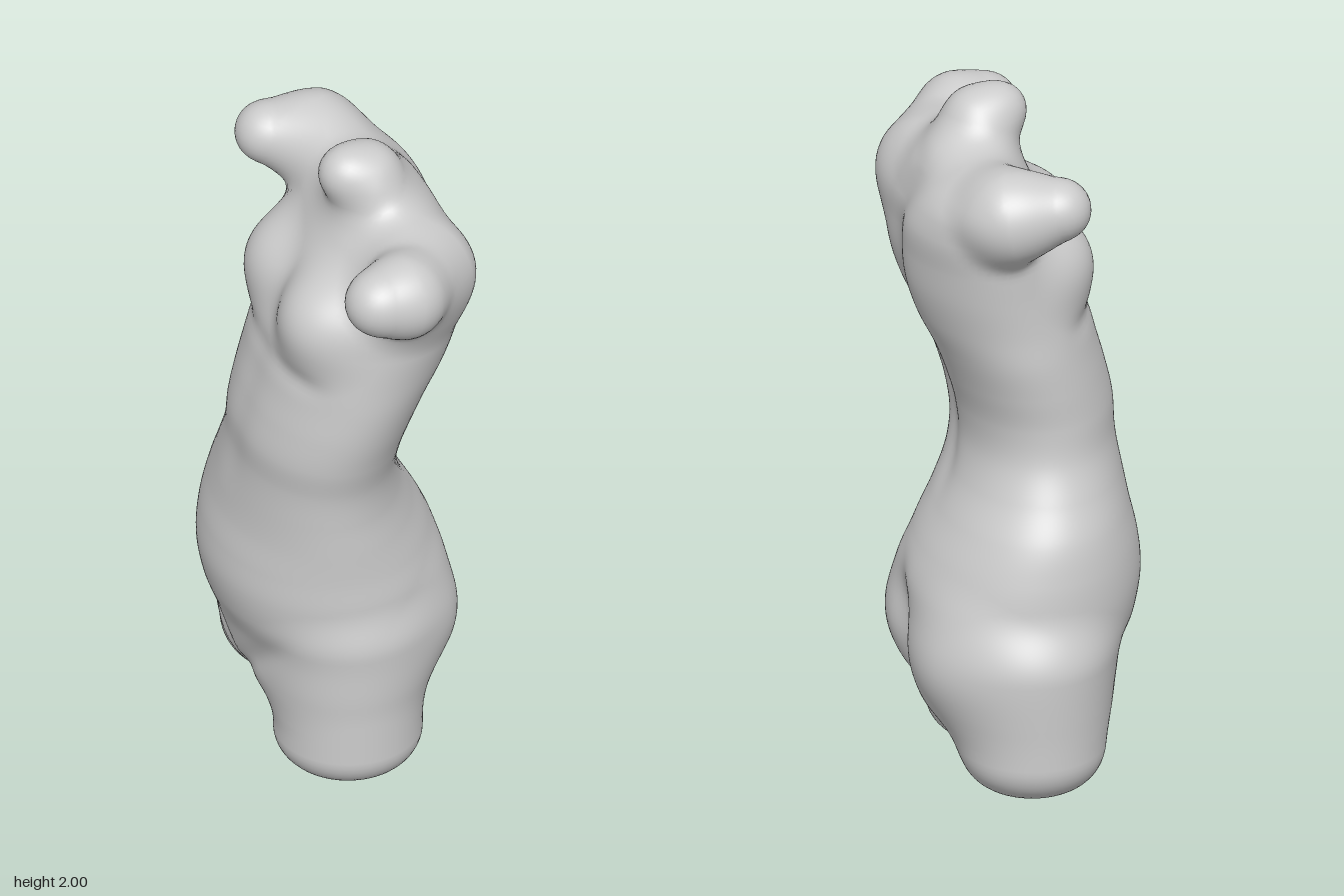
import * as THREE from 'three';

// Body axes: the figure is turned, u runs across it (to its left), v points out of its front
const TURN = 0.63, C = Math.cos(TURN), S = Math.sin(TURN);
const clamp = (t) => Math.min(1, Math.max(0, t));
const bell = (t, w) => Math.exp(-(t * t) / (w * w));
const ramp = (a, b, t) => { const s = clamp((t - a) / (b - a)); return s * s * (3 - 2 * s); };

// Soft union and soft intersection
const join = (a, b, k) => {
  const h = Math.max(k - Math.abs(a - b), 0) / k;
  return Math.min(a, b) - h * h * k / 4;
};
const cut = (a, b, k) => -join(-a, -b, k);

// Trunk sections every 0.1 from y = 0.2: centre x, centre z, half width, half depth
const SECTIONS = [
  [-.10, -.03, .35, .26], [-.09, -.03, .38, .28], [-.09, -.03, .39, .30], [-.09, -.01, .395, .32],
  [-.09, .00, .395, .33], [-.095, .015, .387, .307], [-.093, .036, .374, .27], [-.078, .064, .347, .24],
  [-.057, .083, .328, .225], [-.037, .087, .335, .23], [-.015, .07, .35, .235], [.008, .045, .362, .242],
  [.032, .02, .367, .258], [.052, -.005, .375, .257], [.065, -.025, .382, .242], [.06, -.06, .365, .21],
  [.03, -.09, .32, .15], [.03, -.09, .24, .09],
];

function section(y) {
  const n = SECTIONS.length - 1, f = Math.min(n - 0.001, Math.max(0, (y - 0.2) / 0.1));
  const i = Math.floor(f), t = f - i;
  const row = (j) => SECTIONS[Math.min(n, Math.max(0, j))];
  const [p, q, r, s] = [row(i - 1), row(i), row(i + 1), row(i + 2)];
  return q.map((v, k) => v + 0.5 * t * (r[k] - p[k] +
    t * (2 * p[k] - 5 * v + 4 * r[k] - s[k] + t * (3 * (v - r[k]) + s[k] - p[k]))));
}

// Distance to a limb tapering from a to b, each [x, y, z, radius]
function limb(x, y, z, a, b) {
  const d = [b[0] - a[0], b[1] - a[1], b[2] - a[2]];
  const t = clamp(((x - a[0]) * d[0] + (y - a[1]) * d[1] + (z - a[2]) * d[2]) /
    (d[0] * d[0] + d[1] * d[1] + d[2] * d[2]));
  return Math.hypot(x - a[0] - d[0] * t, y - a[1] - d[1] * t, z - a[2] - d[2] * t) - a[3] - (b[3] - a[3]) * t;
}
const ball = (x, y, z, c) => Math.hypot(x - c[0], y - c[1], z - c[2]) - c[3];

// Upright thigh with a rounded cut end
function thigh(x, y, z, cx, cz, r, bottom, round) {
  const q = Math.hypot(x - cx, z - cz) - r + round;
  const v = Math.max(bottom - y, y - 0.55) + round;
  return Math.min(Math.max(q, v), 0) + Math.hypot(Math.max(q, 0), Math.max(v, 0)) - round;
}

function body(x, y, z) {
  // trunk
  const [cx, cz, a, b] = section(y);
  const u = (x - cx) * C + (z - cz) * S, v = (z - cz) * C - (x - cx) * S;
  const k0 = Math.hypot(u / a, v / b), k1 = Math.hypot(u / (a * a), v / (b * b));
  let d = k1 < 1e-6 ? -b : k0 * (k0 - 1) / k1;
  d = cut(d, y - 1.85, 0.1);
  d = cut(d, 0.2 - y, 0.1);

  // breasts
  d = join(d, ball(x, y, z, [.095, 1.525, .205, .14]), 0.08);
  d = join(d, ball(x, y, z, [-.15, 1.525, .025, .14]), 0.08);

  // shoulders and arm stumps
  d = join(d, limb(x, y, z, [.03, 1.77, -.09, .09], [-.24, 1.78, -.195, .115]), 0.06);
  d = join(d, limb(x, y, z, [-.24, 1.78, -.195, .115], [-.342, 1.805, -.11, .088]), 0.08);
  d = join(d, limb(x, y, z, [.305, 1.69, .04, .13], [.365, 1.735, .23, .115]), 0.1);
  d = join(d, limb(x, y, z, [.36, 1.74, .24, .105], [.335, 1.748, .31, .095]), 0.05);

  // neck stump with a jutting front edge
  let neck = limb(x, y, z, [.07, 1.75, -.05, .12], [.075, 1.89, .01, .108]);
  neck = join(neck, ball(x, y, z, [.045, 1.925, .062, .073]), 0.04);
  d = join(d, neck, 0.1);

  // buttocks and thighs
  d = join(d, ball(x, y, z, [-.165, .41, -.21, .195]), 0.1);
  d = join(d, ball(x, y, z, [.115, .42, -.05, .183]), 0.1);
  const legs = join(thigh(x, y, z, .085, .105, .207, 0, .1),
    thigh(x, y, z, -.285, -.16, .203, .045, .12), 0.07);
  d = join(d, legs, 0.08);

  // spine furrow, cleft, front midline and groin creases
  const back = ramp(0.02, 0.12, -v), front = ramp(0.02, 0.12, v);
  d += 0.04 * back * bell(u, 0.1) * ramp(0.95, 1.45, y) * (1 - ramp(1.7, 1.88, y));
  d += 0.012 * back * bell(u, 0.06) * ramp(0.75, 0.95, y) * (1 - ramp(1.1, 1.4, y));
  d += 0.035 * back * bell(u - 0.02, 0.06) * ramp(0.1, 0.2, y) * (1 - ramp(0.4, 0.68, y));
  d += 0.006 * front * bell(u, 0.07) * ramp(0.85, 1.0, y) * (1 - ramp(1.6, 1.75, y));
  const side = Math.abs(u - 0.05);
  d += 0.014 * front * bell(y - 0.25 - 0.75 * side, 0.05) * (1 - ramp(0.1, 0.32, side));
  d += 0.008 * front * bell(y - 1.375, 0.04) * (1 - ramp(0.2, 0.32, Math.abs(u)));
  return d;
}

// Net of quads around the zero level of a field, drawn onto it along the gradient
function skin(field, min, max, step) {
  const n = min.map((m, i) => Math.ceil((max[i] - m) / step) + 1);
  const stride = [1, n[0], n[0] * n[1]];
  const values = new Float32Array(n[0] * n[1] * n[2]);
  const each = (fn) => {
    for (let k = 0; k < n[2]; k++) for (let j = 0; j < n[1]; j++) for (let i = 0; i < n[0]; i++)
      fn([i, j, k], i + j * stride[1] + k * stride[2]);
  };
  const at = (p) => p.map((q, i) => min[i] + q * step);
  each((p, id) => { values[id] = field(...at(p)); });

  const e = 0.004;
  const gradient = ([x, y, z]) => [
    (field(x + e, y, z) - field(x - e, y, z)) / (2 * e),
    (field(x, y + e, z) - field(x, y - e, z)) / (2 * e),
    (field(x, y, z + e) - field(x, y, z - e)) / (2 * e)];

  const positions = [], normals = [], indices = [], vertexOf = new Map();
  each((p, id) => {
    if (p.some((q, i) => q >= n[i] - 1)) return;
    const sum = [0, 0, 0];
    let hits = 0;
    for (let c = 0; c < 8; c++) for (let axis = 0; axis < 3; axis++) {
      if (c >> axis & 1) continue;
      const o = [c & 1, c >> 1 & 1, c >> 2 & 1];
      const start = id + o[0] + o[1] * stride[1] + o[2] * stride[2];
      const f0 = values[start], f1 = values[start + stride[axis]];
      if (f0 < 0 === f1 < 0) continue;
      o[axis] = f0 / (f0 - f1);
      o.forEach((q, i) => { sum[i] += p[i] + q; });
      hits++;
    }
    if (!hits) return;
    let point = at(sum.map((q) => q / hits)), g;
    for (let s = 0; s < 2; s++) {
      g = gradient(point);
      const len2 = Math.max(0.2, g[0] * g[0] + g[1] * g[1] + g[2] * g[2]);
      const move = Math.max(-step / 2, Math.min(step / 2, field(...point) / len2));
      point = point.map((q, i) => q - g[i] * move);
    }
    g = gradient(point);
    const len = Math.hypot(...g) || 1;
    vertexOf.set(id, positions.length / 3);
    positions.push(...point);
    normals.push(...g.map((q) => q / len));
  });

  each((p, id) => {
    for (let axis = 0; axis < 3; axis++) {
      if (p[axis] >= n[axis] - 1) continue;
      const inside = values[id] < 0;
      if (inside === values[id + stride[axis]] < 0) continue;
      const sb = stride[(axis + 1) % 3], sc = stride[(axis + 2) % 3];
      const q = [id, id - sb, id - sb - sc, id - sc].map((cell) => vertexOf.get(cell));
      if (!inside) q.reverse();
      indices.push(q[0], q[1], q[2], q[0], q[2], q[3]);
    }
  });

  const geometry = new THREE.BufferGeometry();
  geometry.setAttribute('position', new THREE.Float32BufferAttribute(positions, 3));
  geometry.setAttribute('normal', new THREE.Float32BufferAttribute(normals, 3));
  geometry.setIndex(indices);
  return geometry;
}

export function createModel() {
  const group = new THREE.Group();
  group.name = 'sculpture';
  const material = new THREE.MeshStandardMaterial({ color: 0xcccccc });
  const torso = new THREE.Mesh(skin(body, [-.6, -.06, -.52], [.6, 2.08, .52], 0.017), material);
  torso.name = 'torso';
  group.add(torso);
  return group;
}
